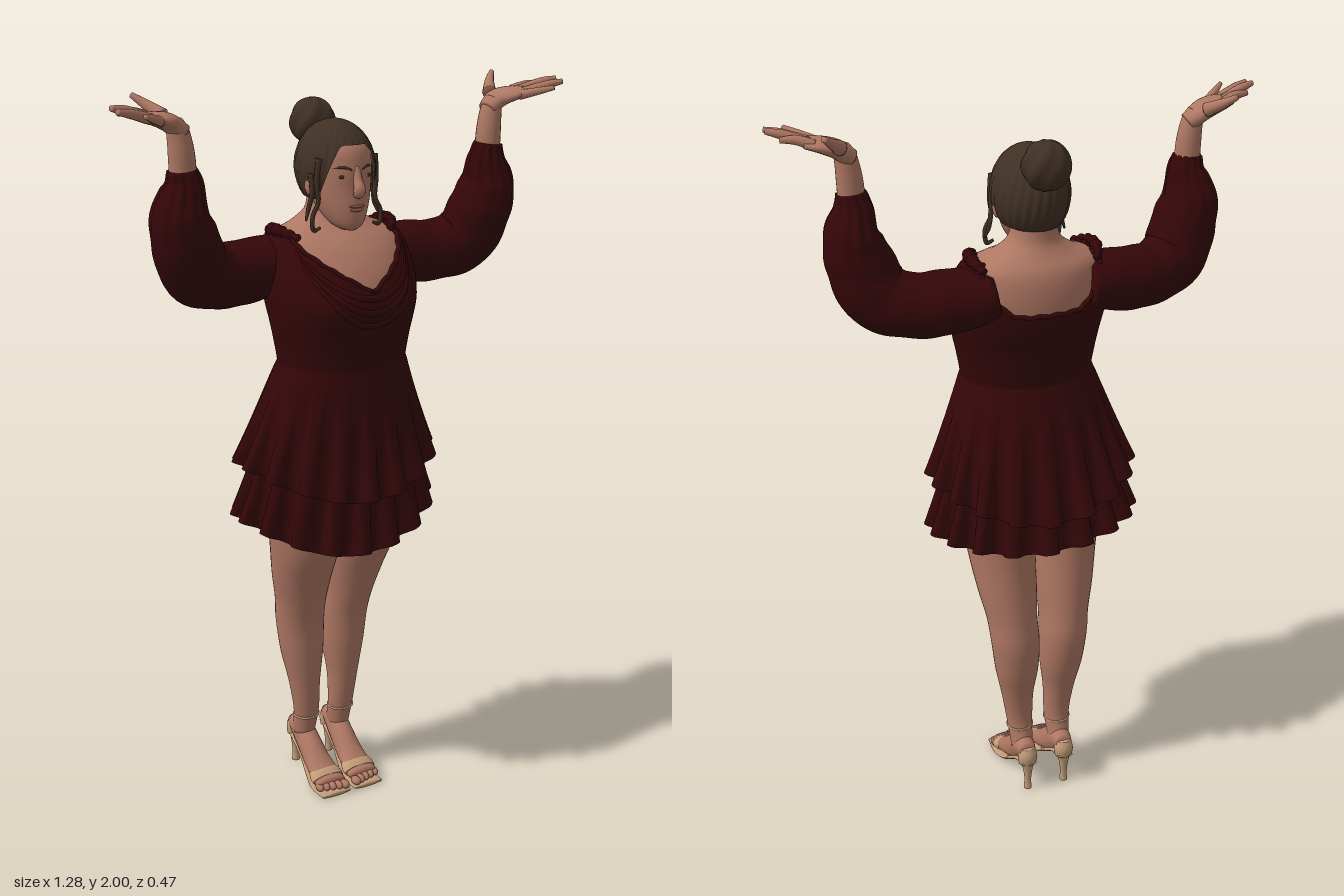
import * as THREE from 'three';

const mat = (name, color, side = THREE.FrontSide) => {
  const m = new THREE.MeshStandardMaterial({ color, side });
  m.name = name;
  return m;
};
const { sin, cos, abs, sqrt, PI } = Math;
const smooth = THREE.MathUtils.smoothstep;
const lerp = THREE.MathUtils.lerp;
const V = (x, y, z) => new THREE.Vector3(x, y, z);

// Smooth lookup in a table of rows keyed by their first column
function sample(table, key) {
  const n = table.length;
  let i = 0;
  while (i < n - 2 && key > table[i + 1][0]) i++;
  const h = table[i + 1][0] - table[i][0];
  const t = THREE.MathUtils.clamp((key - table[i][0]) / h, 0, 1);
  const slope = (k, c) => {
    const a = table[Math.max(k - 1, 0)], b = table[Math.min(k + 1, n - 1)];
    return (b[c] - a[c]) / (b[0] - a[0]);
  };
  return table[i].map((p, c) => {
    const q = table[i + 1][c], t2 = t * t, t3 = t2 * t;
    return p * (2 * t3 - 3 * t2 + 1) + q * (3 * t2 - 2 * t3)
      + h * (slope(i, c) * (t3 - 2 * t2 + t) + slope(i + 1, c) * (t3 - t2));
  });
}

// Closed-round surface: f(v, angle) gives a point, v runs 0..1
function surface(rows, cols, f) {
  const pos = [], idx = [];
  for (let i = 0; i <= rows; i++)
    for (let j = 0; j < cols; j++) pos.push(...f(i / rows, (j / cols) * 2 * PI).toArray());
  for (let i = 0; i < rows; i++)
    for (let j = 0; j < cols; j++) {
      const k = (j + 1) % cols, a = i * cols + j, b = i * cols + k;
      idx.push(a, b, a + cols, b, b + cols, a + cols);
    }
  const g = new THREE.BufferGeometry();
  g.setAttribute('position', new THREE.Float32BufferAttribute(pos, 3));
  g.setIndex(idx);
  g.computeVertexNormals();
  return g;
}

// Point on an upright section [y, centreX, halfWidth, frontZ, backZ]
const ring = ([y, cx, rx, zf, zb], a, k = 1, off = 0) =>
  V(cx + (rx + off) * k * sin(a), y, (zf + zb) / 2 + ((zf - zb) / 2 + off) * k * cos(a));

function loft(table, rows = 40, cols = 32) {
  const y0 = table[0][0], y1 = table[table.length - 1][0];
  return surface(rows + 2, cols, (v, a) => {
    const r = Math.round(v * (rows + 2));
    const t = THREE.MathUtils.clamp((r - 1) / rows, 0, 1);
    return ring(sample(table, lerp(y0, y1, t)), a, r === 0 || r === rows + 2 ? 0 : 1);
  });
}

// Tapering limb through points [x, y, z, radius, radius along ref]
function limb(pts, { rows = 20, cols = 12, ref = V(0, 0, 1), pleat = () => 1 } = {}) {
  const curve = new THREE.CatmullRomCurve3(pts.map(p => V(p[0], p[1], p[2])));
  const radii = pts.map((p, i) => [i, p[3], p[4] ?? p[3]]);
  return surface(rows + 2, cols, (v, a) => {
    const r = Math.round(v * (rows + 2));
    const t = THREE.MathUtils.clamp((r - 1) / rows, 0, 1);
    const k = r === 0 || r === rows + 2 ? 0 : pleat(t, a);
    const T = curve.getTangent(t), N = ref.clone().cross(T).normalize(), B = T.clone().cross(N);
    const [, ra, rb] = sample(radii, t * (pts.length - 1));
    return curve.getPoint(t).addScaledVector(N, k * ra * cos(a)).addScaledVector(B, k * rb * sin(a));
  });
}

const TORSO = [
  [1.2, 0, .17, .165, -.10], [1.28, 0, .168, .17, -.09], [1.35, 0, .178, .18, -.1], [1.4, 0, .188, .19, -.11],
  [1.46, 0, .197, .2, -.135], [1.52, 0, .2, .18, -.142], [1.58, 0, .19, .14, -.138], [1.62, 0, .168, .095, -.125],
  [1.645, 0, .11, .055, -.105], [1.68, 0, .066, .038, -.085], [1.78, 0, .058, .04, -.08]];
const HEAD = [
  [1.637, 0, .018, .1, .04], [1.65, 0, .038, .114, .01], [1.69, 0, .062, .12, -.04], [1.74, 0, .077, .118, -.07],
  [1.8, 0, .082, .118, -.085], [1.85, 0, .078, .102, -.08], [1.89, 0, .03, .05, -.03]];
const LEG = [
  [.12, .057, .03, -.045, -.125], [.2, .057, .037, -.03, -.098], [.3, .063, .046, -.02, -.106], [.4, .067, .062, -.01, -.13],
  [.5, .072, .069, 0, -.142], [.57, .077, .071, .022, -.136], [.65, .083, .082, .052, -.128], [.75, .089, .092, .1, -.12],
  [.85, .095, .097, .12, -.116], [1.05, .09, .092, .12, -.1]];
const SLEEVE = [
  [.12, 1.55, -.038, .07, .095], [.25, 1.533, -.03, .083, .084], [.33, 1.533, -.015, .083, .078], [.4, 1.562, .01, .09, .08],
  [.436, 1.64, .03, .086, .083], [.452, 1.71, .037, .071, .078], [.443, 1.78, .045, .049, .05], [.447, 1.82, .048, .036, .037]];
const FINGERS = {
  Thumb: [[.475, 1.945, .005, .019], [.5, 1.968, -.032, .013], [.526, 1.99, -.06, .007]],
  IndexFinger: [[.53, 1.95, .028, .014], [.57, 1.963, .043, .012], [.608, 1.964, .052, .007]],
  MiddleFinger: [[.54, 1.951, .05, .014], [.6, 1.972, .07, .012], [.636, 1.98, .08, .007]],
  RingFinger: [[.535, 1.948, .073, .014], [.6, 1.968, .1, .011], [.634, 1.975, .113, .007]],
  LittleFinger: [[.515, 1.943, .085, .013], [.55, 1.955, .12, .01], [.58, 1.965, .15, .006]]};

export function createModel() {
  const model = new THREE.Group();
  const skin = mat('skin', 0xae7763), dress = mat('dressRed', 0x340609, THREE.DoubleSide);
  const hair = mat('hairBrown', 0x403024, THREE.DoubleSide), shoe = mat('shoeBeige', 0xc39c78);
  const lip = mat('lipRose', 0x935849), dark = mat('eyeDark', 0x4a3028);
  const add = (name, geo, m) => {
    const mesh = new THREE.Mesh(geo, m);
    mesh.name = name;
    model.add(mesh);
  };
  const ball = (name, m, [x, y, z], [rx, ry, rz]) =>
    add(name, new THREE.SphereGeometry(1, 24, 16).scale(rx, ry, rz).translate(x, y, z), m);

  // Body and head
  add('torsoAndNeck', loft(TORSO, 50, 48), skin);
  add('head', loft(HEAD, 40, 40), skin);
  add('nose', limb([[0, 1.8, .108, .01], [0, 1.765, .122, .012], [0, 1.742, .13, .016], [0, 1.73, .118, .012]]), skin);
  ball('upperLip', lip, [0, 1.701, .117], [.022, .004, .006]);
  ball('lowerLip', lip, [0, 1.692, .117], [.019, .005, .006]);

  // Bodice with a V front, scooped back and soft bust
  const neckline = a => {
    const w = a > PI ? 2 * PI - a : a;
    return 1.63 - .135 * Math.max(0, 1 - w / 1.1) - .12 * smooth(w, 1.9, 2.8);
  };
  const bodicePoint = (y, a, off = .01) => {
    const w = a > PI ? 2 * PI - a : abs(a);
    const bust = .014 * Math.exp(-(((w - .5) / .35) ** 2) - ((y - 1.45) / .06) ** 2);
    return ring(sample(TORSO, y), a, 1, off + bust);
  };
  add('bodice', surface(40, 96, (v, a) => bodicePoint(lerp(1.25, neckline(a), v), a)), dress);
  const trim = [];
  for (let i = 0; i <= 96; i++) {
    const a = (i / 96) * 2 * PI, p = bodicePoint(neckline(a), a, .007 + .002 * sin(i * 1.9));
    trim.push([p.x, p.y + .002 * cos(i * 1.9), p.z, .006]);
  }
  add('necklineFrill', limb(trim, { rows: 240, cols: 8, ref: V(0, 1, 0) }), dress);
  // Draped cowl folds across the chest
  for (let k = 0; k < 3; k++) {
    const fold = [];
    for (let i = 0; i <= 16; i++) {
      const a = -.95 + 1.9 * i / 16;
      const p = bodicePoint(1.6 - (.12 + .035 * k) * cos(a * 1.6), a, .007);
      fold.push([p.x, p.y, p.z, .002 + .005 * cos(a * 1.5), .004 + .006 * cos(a * 1.5)]);
    }
    add('cowlFold', limb(fold, { rows: 40, cols: 8, ref: V(0, 1, 0) }), dress);
  }

  // Two flared skirt tiers with rounded scallops
  const tier = (name, top, bottom, hem, depth) =>
    add(name, surface(32, 288, (v, a) => {
      const d = 1 - v, c = cos(18 * a + .5 * sin(3 * a) + .6), wave = 1.14 * c / sqrt(.3 + c * c);
      const mix = top.map((t, i) => lerp(t, bottom[i], d ** .9));
      mix[0] = lerp(top[0], hem(cos(a)) + .008 * wave, d);
      return ring(mix, a, 1, depth * d ** 2 * wave);
    }), dress);
  tier('upperSkirtTier', [1.29, 0, .179, .18, -.1], [1, 0, .273, .216, -.212],
    c => 1.01 - .075 * c * c, .021);
  tier('lowerSkirtTier', [1.2, 0, .18, .16, -.11], [.86, 0, .282, .178, -.188],
    c => .86 - (c > 0 ? .09 : .025) * c * c, .021);

  // Hair cap, swept back from the hairline
  add('hair', surface(28, 144, (v, a) => {
    const w = a > PI ? 2 * PI - a : a;
    const phi = (1 - v) * (1.0 + 1.25 * smooth(w, .35, 1.25));
    const k = 1 + .014 * sin(26 * a + 5 * phi) * sin(phi);
    return V(.098 * k * sin(phi) * sin(a), 1.788 + .12 * cos(phi), .003 + .122 * k * sin(phi) * cos(a));
  }), hair);
  // Coiled bun
  add('bun', surface(24, 48, (v, a) => {
    const phi = (1 - v) * PI, k = 1 + .045 * sin(6 * a + 4 * phi) * sin(phi);
    return V(.06 * k * sin(phi) * sin(a), 1.887 + .062 * k * cos(phi), -.112 + .058 * k * sin(phi) * cos(a));
  }), hair);

  for (const s of [1, -1]) {
    const side = s > 0 ? 'left' : 'right';
    const flip = pts => pts.map(([x, ...rest]) => [x * s, ...rest]);
    const part = (name, pts, m, opt) => add(side + name, limb(flip(pts), opt), m);

    // Face details and loose curls
    ball(side + 'Eye', dark, [s * .034, 1.776, .106], [.013, .005, .004]);
    part('Brow', [[.014, 1.793, .115, .003], [.035, 1.8, .107, .0035], [.058, 1.795, .086, .002]], hair, { ref: V(0, 1, 0) });
    ball(side + 'Ear', skin, [s * .084, 1.75, .02], [.01, .028, .016]);
    part('Curl', [[.08, 1.82, .066, .01], [.086, 1.76, .064, .008], [.084, 1.71, .066, .006], [.1, 1.675, .066, .006],
      [.096, 1.64, .064, .006], [.078, 1.645, .066, .004]], hair, { rows: 30, cols: 8 });
    part('ThinCurl', [[.088, 1.78, .04, .01], [.09, 1.73, .045, .007], [.098, 1.69, .04, .006], [.108, 1.662, .045, .003]], hair, { cols: 8 });

    // Puffed sleeve, gathered at the cuff
    part('Sleeve', SLEEVE, dress, { rows: 60, cols: 64, pleat: (t, a) => 1 + .06 * smooth(t, .5, .95) * cos(12 * a) + .014 * sin(t * 45 + 2 * cos(a)) });
    part('ShoulderFrill', [[.135, 1.622, .06, .008], [.16, 1.634, .02, .013], [.165, 1.634, -.03, .015], [.15, 1.62, -.08, .008]], dress,
      { rows: 40, ref: V(0, 1, 0), pleat: t => 1 + .2 * sin(t * 40) });

    // Forearm and open hand
    part('Forearm', [[.445, 1.76, .045, .034], [.447, 1.85, .046, .033], [.455, 1.91, .045, .028], [.465, 1.935, .045, .022]], skin, { cols: 20 });
    part('Palm', [[.442, 1.905, .045, .024, .028], [.475, 1.932, .041, .023, .042], [.51, 1.944, .05, .018, .05], [.548, 1.951, .059, .012, .042]],
      skin, { cols: 24 });
    for (const [name, pts] of Object.entries(FINGERS)) part(name, pts, skin);

    // Leg and arched foot
    add(side + 'Leg', loft(LEG.map(([y, cx, ...r]) => [y, cx * s, ...r]), 50, 36), skin);
    const X = { ref: V(1, 0, 0), cols: 24 };
    part('Foot', [[.056, .135, -.135, .022, .024], [.056, .132, -.1, .036, .031], [.055, .1, -.055, .04, .033], [.054, .062, -.005, .034, .038],
      [.053, .038, .045, .022, .045], [.053, .028, .08, .016, .045]], skin, X);
    for (let i = 0; i < 5; i++)
      ball(side + 'Toe', skin, [s * (.019 + .018 * i), .024, .095 - .005 * i], [i ? .01 : .013, .012, .018]);

    // Open-toed heeled sandal
    part('ShoeSole', [[.056, .1, -.148, .006, .022], [.056, .093, -.105, .008, .028], [.055, .055, -.05, .008, .03], [.054, .018, 0, .007, .038],
      [.053, .008, .045, .007, .049], [.053, .008, .108, .007, .047]], shoe, X);
    part('ToeStrap', [[.053, .046, .024, .023, .043], [.053, .038, .042, .025, .049], [.053, .032, .06, .02, .049]], shoe, X);
    part('HeelCounter', [[.056, .095, -.13, .026, .022], [.056, .12, -.13, .028, .025], [.056, .145, -.126, .022, .02]], shoe, { cols: 20 });
    part('ShoeHeel', [[.056, .1, -.13, .022], [.056, .07, -.132, .014], [.056, .03, -.132, .01], [.056, .002, -.132, .012]], shoe);
    const strap = new THREE.TorusGeometry(1, .07, 8, 32).rotateX(PI / 2).scale(.037, .05, .035).translate(s * .057, .19, -.064);
    add(side + 'AnkleStrap', strap, shoe);
  }
  return model;
}
